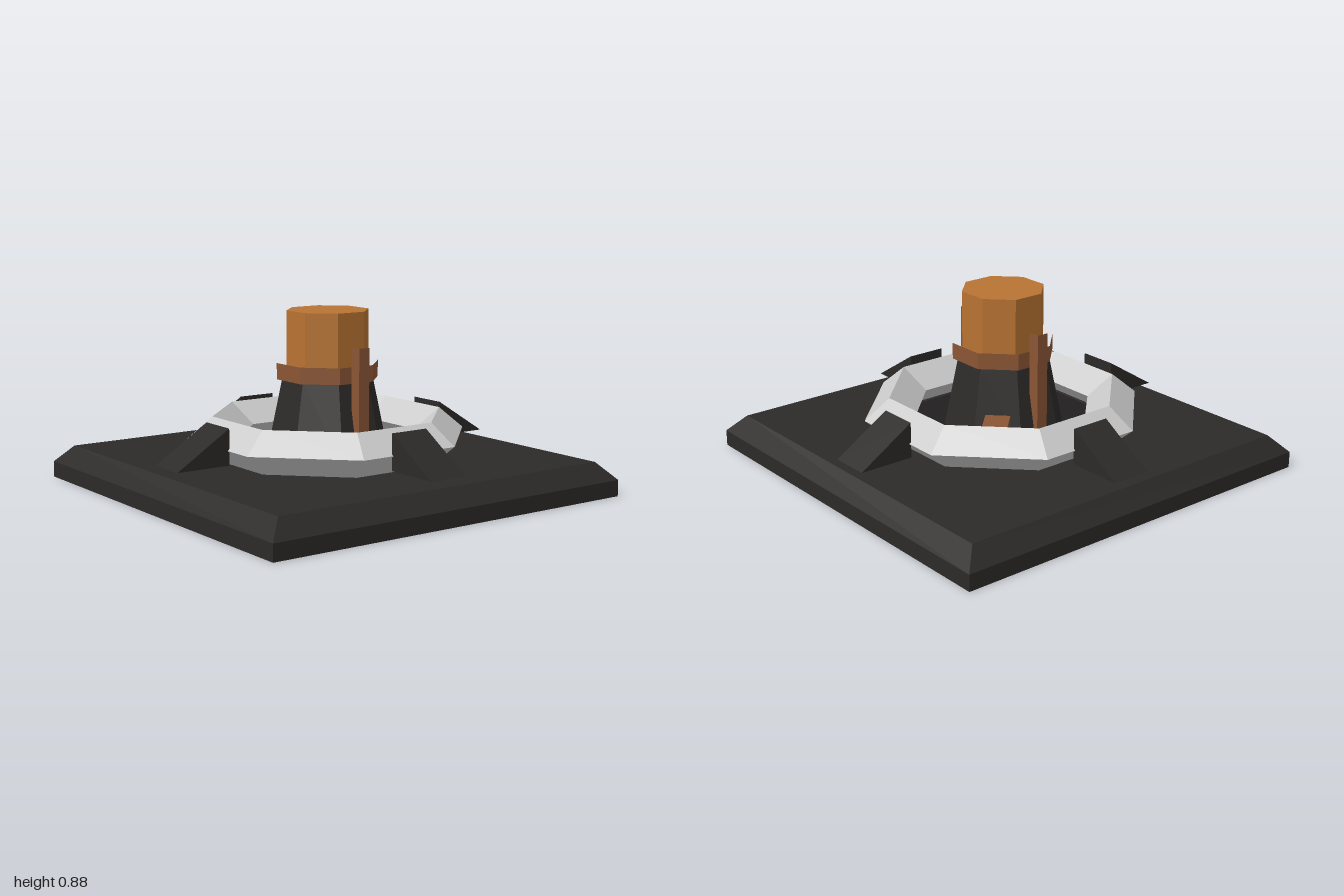
import * as THREE from 'three';

const paint = (color) => new THREE.MeshStandardMaterial({ color, flatShading: true });

export function createModel() {
  const model = new THREE.Group();
  const dark = paint(0x2c2a28);
  const shade = paint(0x221f21);
  const grey = paint(0xcccccc);
  const brown = paint(0x8b5635);
  const copper = paint(0xb87333);

  const add = (name, geometry, material, x = 0, y = 0, z = 0) => {
    const mesh = new THREE.Mesh(geometry, material);
    mesh.name = name;
    mesh.position.set(x, y, z);
    model.add(mesh);
    return mesh;
  };

  // Faceted solid turned from [distance to flat side, height] points, flats facing the axes
  const turned = (sides, points) => {
    const k = 1 / Math.cos(Math.PI / sides);
    const profile = points.map(([r, y]) => new THREE.Vector2(r * k, y));
    return new THREE.LatheGeometry(profile, sides, Math.PI / sides);
  };

  // Square plinth with a bevelled top edge
  add('base', turned(4, [[0, 0], [1, 0], [1, 0.08], [0.92, 0.165], [0, 0.165]]), dark);

  // Octagonal ring with a diamond section, and the floor inside it
  add('ring', turned(8, [[0.53, 0.165], [0.645, 0.27], [0.53, 0.375], [0.41, 0.27], [0.53, 0.165]]), grey);
  add('ringFloor', turned(8, [[0.5, 0.17], [0, 0.17]]), shade);

  // Open tapered post with an open collar and a solid cap
  add('post', turned(8, [[0.285, 0.165], [0.21, 0.55]]), dark);
  add('collar', turned(8, [[0.235, 0.545], [0.235, 0.625]]), brown);
  add('cap', turned(8, [[0, 0.545], [0.19, 0.545], [0.19, 0.88], [0, 0.88]]), copper);

  // Open upright bars on both sides of the post
  for (const side of [-1, 1]) {
    add('sideBar', turned(4, [[0.03, 0.165], [0.03, 0.72]]), brown, side * 0.265);
  }

  // Diagonal strut through the post, ending inside the ring
  const strut = add('strut', new THREE.BoxGeometry(1.04, 0.06, 0.12), brown, 0, 0.29, 0);
  strut.rotation.y = -Math.PI / 4;

  // Four wedge ramps around the ring
  const wedge = new THREE.Shape([
    new THREE.Vector2(0.635, 0.2),
    new THREE.Vector2(0.915, 0.2),
    new THREE.Vector2(0.635, 0.375),
  ]);
  const rampGeometry = new THREE.ExtrudeGeometry(wedge, { depth: 0.2, bevelEnabled: false });
  rampGeometry.translate(0, 0, -0.1);
  for (let i = 0; i < 4; i++) {
    add('ramp', rampGeometry, dark).rotation.y = i * Math.PI / 2;
  }

  return model;
}
